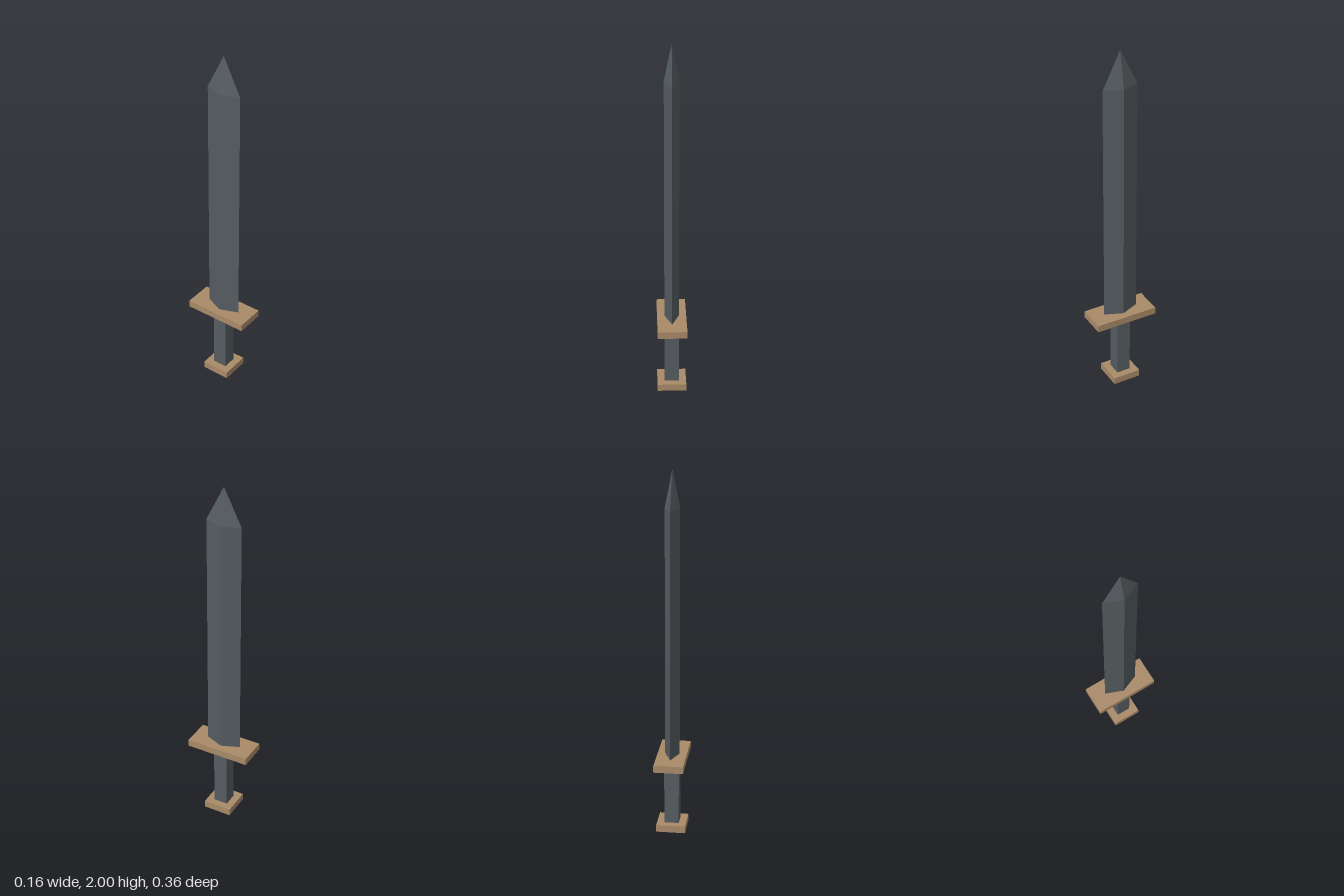
import * as THREE from 'three';

export function createModel() {
  const sword = new THREE.Group();
  sword.name = 'sword';
  const steel = new THREE.MeshStandardMaterial({ color: 0x555c60, flatShading: true });
  const wood = new THREE.MeshStandardMaterial({ color: 0xa98a68, flatShading: true });

  const add = (name, geometry, material, y) => {
    const mesh = new THREE.Mesh(geometry, material);
    mesh.name = name;
    mesh.position.y = y;
    sword.add(mesh);
    return mesh;
  };

  // Hilt: square pommel, square grip and a guard that is wide along z
  add('pommel', new THREE.BoxGeometry(0.16, 0.04, 0.16), wood, 0.02);
  add('grip', new THREE.BoxGeometry(0.08, 0.36, 0.08), steel, 0.22);
  add('guard', new THREE.BoxGeometry(0.16, 0.04, 0.36), wood, 0.42);

  // Blade: diamond section, flattened in x, with a four-sided point
  const blade = new THREE.CylinderGeometry(0.1, 0.1, 1.36, 4, 1, true).scale(0.4, 1, 1);
  const tip = new THREE.ConeGeometry(0.1, 0.2, 4, 1, true).scale(0.4, 1, 1);
  add('blade', blade, steel, 1.12);
  add('bladeTip', tip, steel, 1.9);

  return sword;
}
